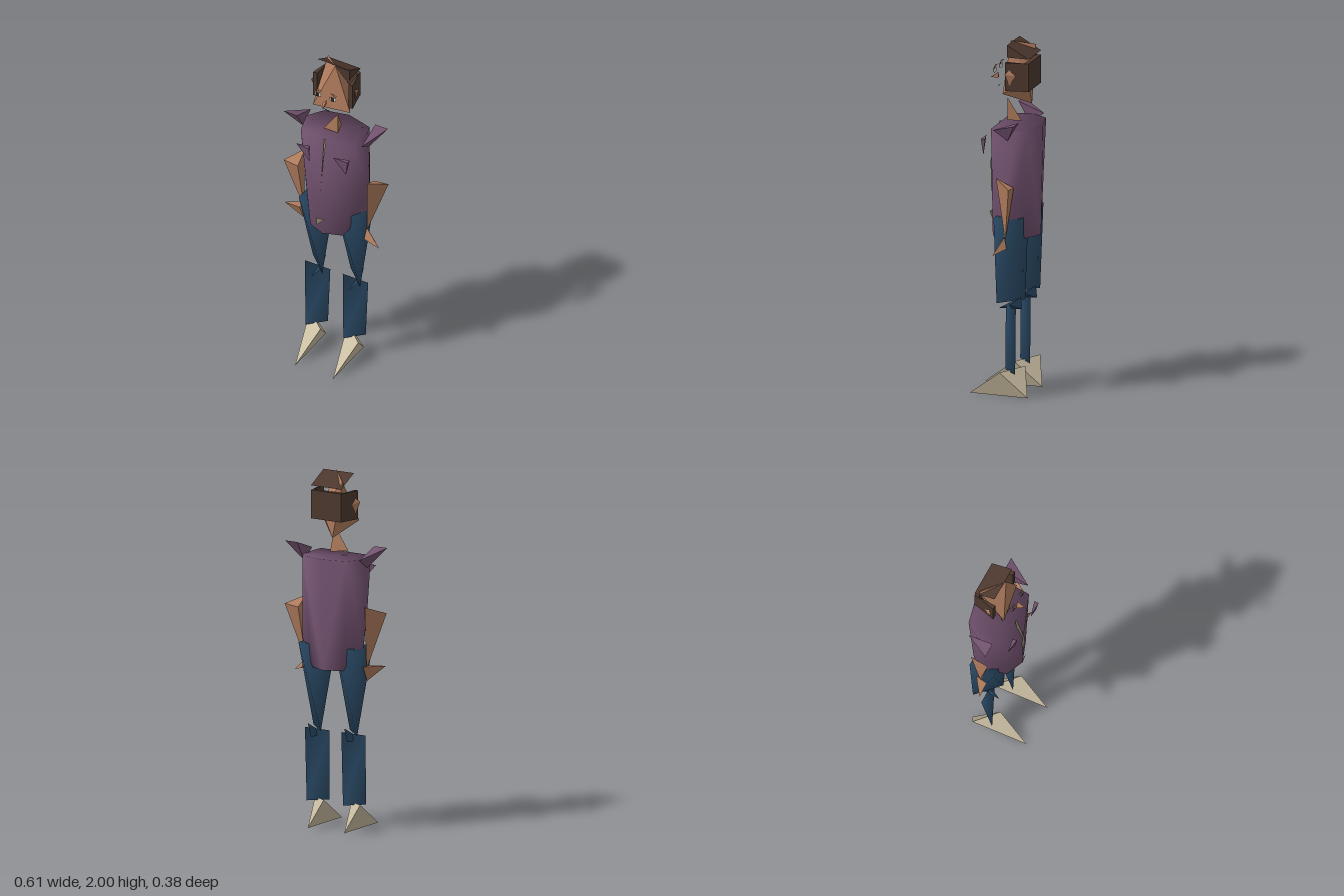
import * as THREE from 'three';
import { ConvexGeometry } from 'three/addons/geometries/ConvexGeometry.js';
import { mergeVertices } from 'three/addons/utils/BufferGeometryUtils.js';

export function createModel() {
  const model = new THREE.Group();
  const mat = (name, color, side = THREE.FrontSide) => {
    const m = new THREE.MeshStandardMaterial({ color, side });
    m.name = name;
    return m;
  };
  const jacket = mat('plum jacket', 0x72526f);
  const skin = mat('skin', 0xb07c5e);
  const hair = mat('dark brown hair', 0x4d382e);
  const denim = mat('blue denim', 0x2a4a66);
  const shoe = mat('cream shoe', 0xcabda2);
  const metal = mat('zip metal', 0x8a8468, THREE.DoubleSide);
  const white = mat('eye white', 0xd8d4cc, THREE.DoubleSide);
  const dark = mat('dark detail', 0x2c211e, THREE.DoubleSide);

  const add = (name, geometry, material, dx = 0) => {
    const mesh = new THREE.Mesh(geometry, material);
    mesh.name = name;
    mesh.position.x = dx;
    model.add(mesh);
    return mesh;
  };
  // Closed faceted solid around a few corners; smooth shares the corner normals
  const solid = (name, points, material, dx = 0, smooth = false) => {
    let g = new ConvexGeometry(points.map(p => new THREE.Vector3(...p)));
    if (smooth) {
      g.deleteAttribute('normal');
      g = mergeVertices(g, 1e-4);
      g.computeVertexNormals();
    }
    return add(name, g, material, dx);
  };
  // Open sheet, corners counter-clockwise from its visible side
  const sheet = (name, points, material, dx = 0) => {
    const g = new THREE.BufferGeometry();
    g.setAttribute('position', new THREE.Float32BufferAttribute(points.flat(), 3));
    const index = [];
    for (let i = 1; i < points.length - 1; i++) index.push(0, i, i + 1);
    g.setIndex(index);
    g.computeVertexNormals();
    return add(name, g, material, dx);
  };

  // Torso
  solid('jacketBody', [
    [-0.165, 1.53, 0.05], [0.165, 1.53, 0.05], [0.17, 1.53, -0.1], [0.15, 1.53, -0.155],
    [0, 1.53, -0.193], [-0.14, 1.53, -0.16], [-0.2, 1.53, -0.07],
    [0, 1.3, 0.105], [0.205, 1.25, -0.06], [-0.217, 1.27, -0.06],
    [0.2, 1.05, -0.08], [-0.205, 1.05, -0.08],
    [0, 0.905, 0.1], [0.11, 0.905, 0.06], [-0.1, 0.905, 0.06],
    [0.1, 0.905, -0.13], [-0.1, 0.905, -0.13], [0, 0.905, -0.18],
  ], jacket, 0, true);
  solid('leftPocket', [[0.075, 1.465, 0.11], [0.165, 1.465, 0.11], [0.15, 1.37, 0.1], [0.165, 1.465, 0.085]], jacket);
  solid('rightPocket', [[-0.165, 1.465, 0.1], [-0.08, 1.465, 0.11], [-0.08, 1.37, 0.1], [-0.09, 1.465, 0.085]], jacket);
  sheet('zip', [[-0.012, 1.53, 0.06], [-0.008, 1.12, 0.112], [0.002, 1.3, 0.112], [0.002, 1.53, 0.06]], metal);
  sheet('buckle', [[-0.03, 1.01, 0.112], [-0.03, 0.96, 0.112], [0.02, 1.015, 0.112]], metal);

  // Sleeves, arms and hands
  solid('leftSleeve', [[0.205, 1.59, -0.125], [0.285, 1.59, -0.125], [0.205, 1.535, 0.025], [0.203, 1.48, -0.06]], jacket);
  solid('rightSleeve', [[-0.205, 1.59, 0.025], [-0.29, 1.59, 0.025], [-0.205, 1.535, -0.125], [-0.203, 1.48, -0.04]], jacket);
  solid('leftArm', [[0.303, 1.23, -0.1], [0.225, 1.27, 0.0], [0.215, 1.22, -0.1], [0.2, 0.91, -0.045]], skin);
  solid('rightArm', [[-0.303, 1.23, 0.0], [-0.225, 1.27, -0.1], [-0.215, 1.22, 0.0], [-0.2, 0.91, -0.045]], skin);
  solid('leftHand', [[0.3, 0.845, -0.005], [0.2, 0.93, -0.04], [0.2, 0.87, -0.01], [0.22, 0.87, -0.06]], skin);
  solid('rightHand', [[-0.3, 0.935, -0.005], [-0.2, 0.93, -0.08], [-0.2, 0.845, -0.04], [-0.21, 0.93, -0.01]], skin);

  // Both legs share one shape, set side by side
  for (const [side, dx] of [['left', 0], ['right', -0.24]]) {
    solid(side + 'Thigh', [
      [0.047, 1.03, 0.025], [0.195, 1.03, 0.025], [0.195, 1.03, -0.125], [0.047, 1.03, -0.125],
      [0.058, 0.545, -0.11], [0.187, 0.545, 0.01],
    ], denim, dx, true);
    solid(side + 'Shin', [
      [0.042, 0.54, -0.05], [0.203, 0.54, -0.05], [0.075, 0.14, 0.0], [0.165, 0.14, -0.09],
    ], denim, dx, true);
    solid(side + 'Knee', [[0.12, 0.5, 0.02], [0.12, 0.505, -0.115], [0.14, 0.58, -0.115], [0.15, 0.53, -0.05]], denim, dx);
    solid(side + 'Shoe', [
      [0.12, 0, 0.19], [0.12, 0, -0.145], [0.042, 0.16, -0.105], [0.17, 0.145, 0.0],
    ], shoe, dx);
  }

  // Neck and head
  solid('neck', [[-0.05, 1.55, 0], [0.04, 1.55, 0], [0.04, 1.68, 0], [0.02, 1.55, -0.075]], skin);
  solid('head', [
    [-0.097, 1.72, 0.037], [0.118, 1.72, 0], [0.018, 2.0, -0.012],
    [-0.092, 1.96, -0.12], [-0.025, 1.64, -0.12], [0.05, 1.8, -0.12],
  ], skin);

  // Hair: sloping crown, back panel and side wedges
  sheet('crownHair', [[-0.1, 1.995, -0.02], [0.1, 1.995, -0.02], [0.1, 1.925, -0.145], [-0.1, 1.925, -0.145]], hair);
  sheet('crownHairSide', [[0.1, 1.995, -0.02], [0.1, 1.925, -0.02], [0.1, 1.925, -0.145]], hair);
  const back = add('backHair', new THREE.BoxGeometry(0.2, 0.16, 0.025), hair);
  back.position.set(0, 1.82, -0.132);
  for (const s of [1, -1]) {
    const side = s > 0 ? 'left' : 'right';
    solid(side + 'SideHair', [
      [s * 0.1, 1.9, -0.13], [s * 0.1, 1.74, -0.13], [s * 0.1, 1.9, -0.015],
      [s * 0.125, 1.9, -0.015], [s * 0.125, 1.74, -0.015], [s * 0.1, 1.74, -0.015],
    ], hair);
    solid(side + 'Ear', [[s * 0.125, 1.86, -0.04], [s * 0.142, 1.84, -0.02], [s * 0.125, 1.77, -0.04], [s * 0.125, 1.83, -0.08]], skin);
    // Eyes and brows
    const x = s * 0.048;
    sheet(side + 'Eye', [[x - 0.02, 1.845, 0.068], [x - 0.02, 1.82, 0.068], [x + 0.02, 1.82, 0.068], [x + 0.02, 1.845, 0.068]], white);
    sheet(side + 'Pupil', [[x - 0.012, 1.848, 0.073], [x - 0.008, 1.818, 0.073], [x + 0.012, 1.822, 0.073], [x + 0.012, 1.846, 0.073]], dark);
    solid(side + 'Brow', [[x - 0.022, 1.862, 0.06], [x + 0.022, 1.856, 0.06], [x + 0.015, 1.85, 0.073], [x, 1.866, 0.066]], skin);
  }
  solid('nose', [[-0.02, 1.778, 0.07], [0.008, 1.81, 0.065], [0.008, 1.775, 0.112], [0.005, 1.778, 0.065]], skin);
  sheet('mouth', [[-0.028, 1.742, 0.06], [0.018, 1.73, 0.06], [0.018, 1.738, 0.06]], dark);

  return model;
}
